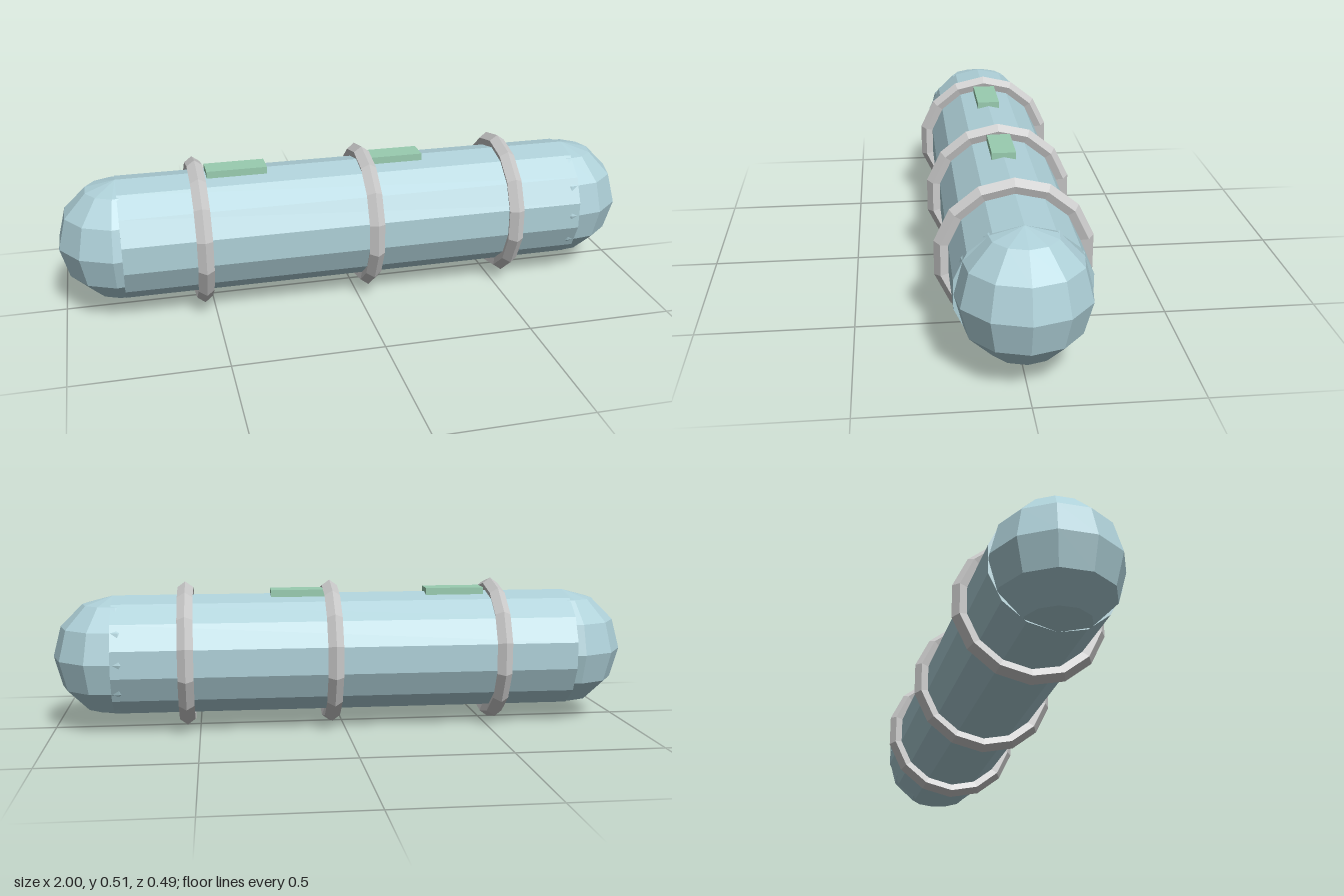
import * as THREE from 'three';

const AXIS_Y = 0.255;
const RADIUS = 0.208;
const SIDES = 14;
const LEFT_END = 0.79;
const RIGHT_END = -0.8;

export function createModel() {
  const group = new THREE.Group();
  const shell = new THREE.MeshStandardMaterial({ color: 0xaed0d8, flatShading: true });
  const metal = new THREE.MeshStandardMaterial({ color: 0xcccccc, flatShading: true });
  const green = new THREE.MeshStandardMaterial({ color: 0x99ccb0, flatShading: true });

  const add = (name, geometry, material, x, y = AXIS_Y) => {
    const mesh = new THREE.Mesh(geometry, material);
    mesh.name = name;
    mesh.position.set(x, y, 0);
    group.add(mesh);
  };

  // Long tube lying along x, with an edge running along its top
  const tube = new THREE.CylinderGeometry(RADIUS, RADIUS, LEFT_END - RIGHT_END, SIDES);
  tube.rotateY(Math.PI / 2).rotateZ(Math.PI / 2);
  add('body', tube, shell, (LEFT_END + RIGHT_END) / 2);

  // Faceted round end caps
  const cap = new THREE.SphereGeometry(RADIUS, 11, 6).rotateY(Math.PI);
  add('leftCap', cap, shell, LEFT_END);
  add('rightCap', cap, shell, RIGHT_END);

  // Bands around the tube
  const band = new THREE.TorusGeometry(0.225, 0.028, 5, SIDES);
  band.rotateZ(Math.PI / 2).rotateY(Math.PI / 2);
  for (const x of [-0.535, 0.043, 0.543]) add('band', band, metal, x);

  // Flat plates on top
  const plate = new THREE.BoxGeometry(0.205, 0.026, 0.08);
  for (const x of [-0.398, 0.147]) add('topPlate', plate, green, x, 0.465);

  return group;
}
